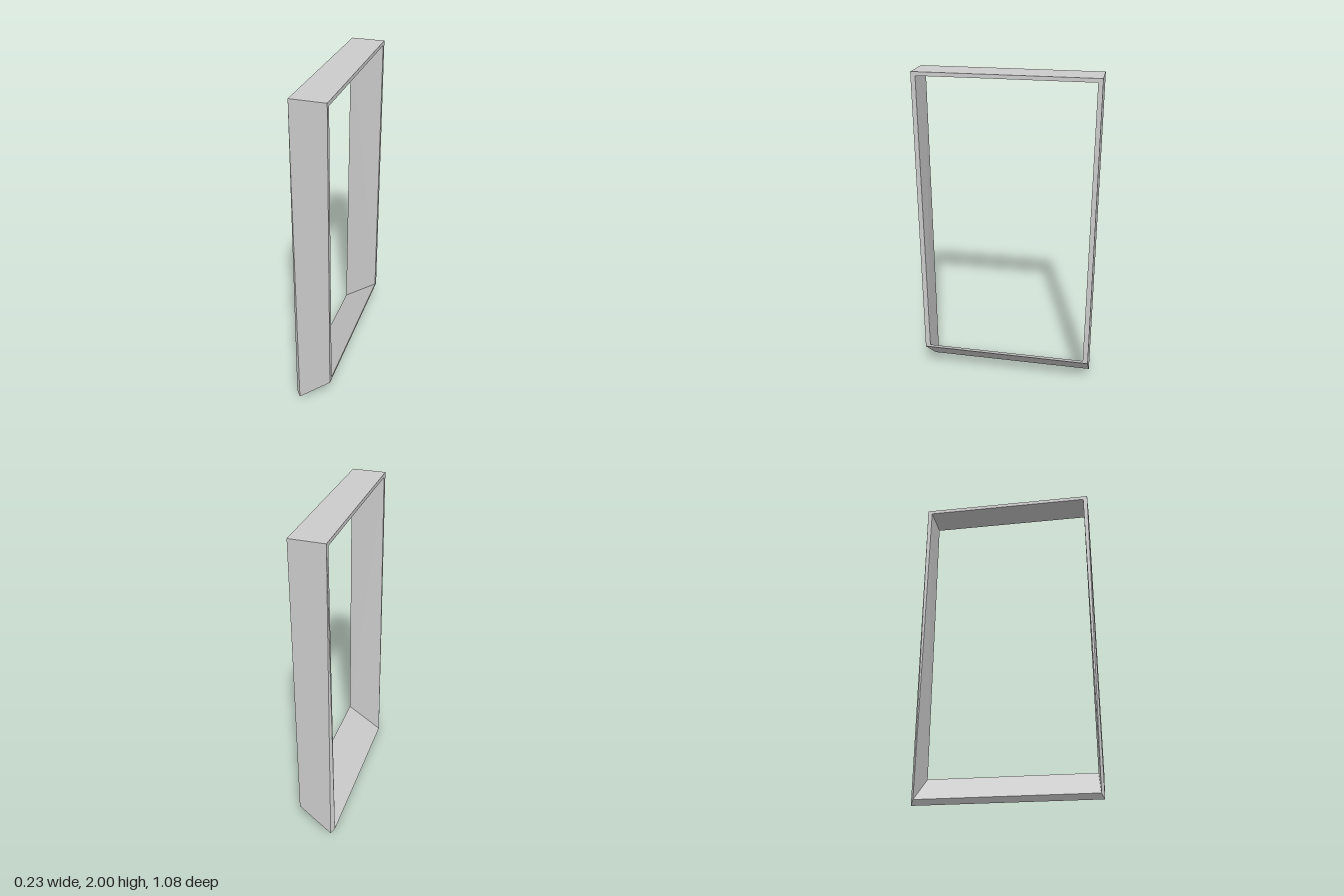
import * as THREE from 'three';

// Four corners of a ring, counter-clockwise seen from +x
const ring = (bottom, top) => {
  const [bx, by, bz] = bottom, [tx, ty, tz] = top;
  return [[bx, by, bz], [bx, by, -bz], [tx, ty, -tz], [tx, ty, tz]];
};

export function createModel() {
  const group = new THREE.Group();

  // Cross-section of the frame: each ring gives its bottom and top corner as x, y, z
  const rings = [
    ring([0.113, 0.18, 0.54], [0.113, 2, 0.54]),        // outer edge, +x side
    ring([0.113, 0.197, 0.508], [0.113, 1.977, 0.513]), // opening, +x side
    ring([-0.113, 0.03, 0.523], [-0.09, 1.977, 0.513]), // opening, -x side with raised lower lip
    ring([-0.09, 0, 0.54], [-0.09, 2, 0.54]),           // outer edge, -x side
  ];

  // Join each ring to the next, closing back on the first
  const positions = [];
  rings.forEach((a, r) => {
    const b = rings[(r + 1) % rings.length];
    for (let i = 0; i < 4; i++) {
      const j = (i + 1) % 4;
      const tris = i === 1
        ? [a[i], a[j], b[j], a[i], b[j], b[i]]
        : [a[i], a[j], b[i], a[j], b[j], b[i]];
      positions.push(...tris.flat());
    }
  });
  const geometry = new THREE.BufferGeometry();
  geometry.setAttribute('position', new THREE.Float32BufferAttribute(positions, 3));
  geometry.computeVertexNormals();

  const frame = new THREE.Mesh(
    geometry,
    new THREE.MeshStandardMaterial({ color: 0xcccccc, flatShading: true })
  );
  frame.name = 'frame';
  group.add(frame);
  return group;
}
